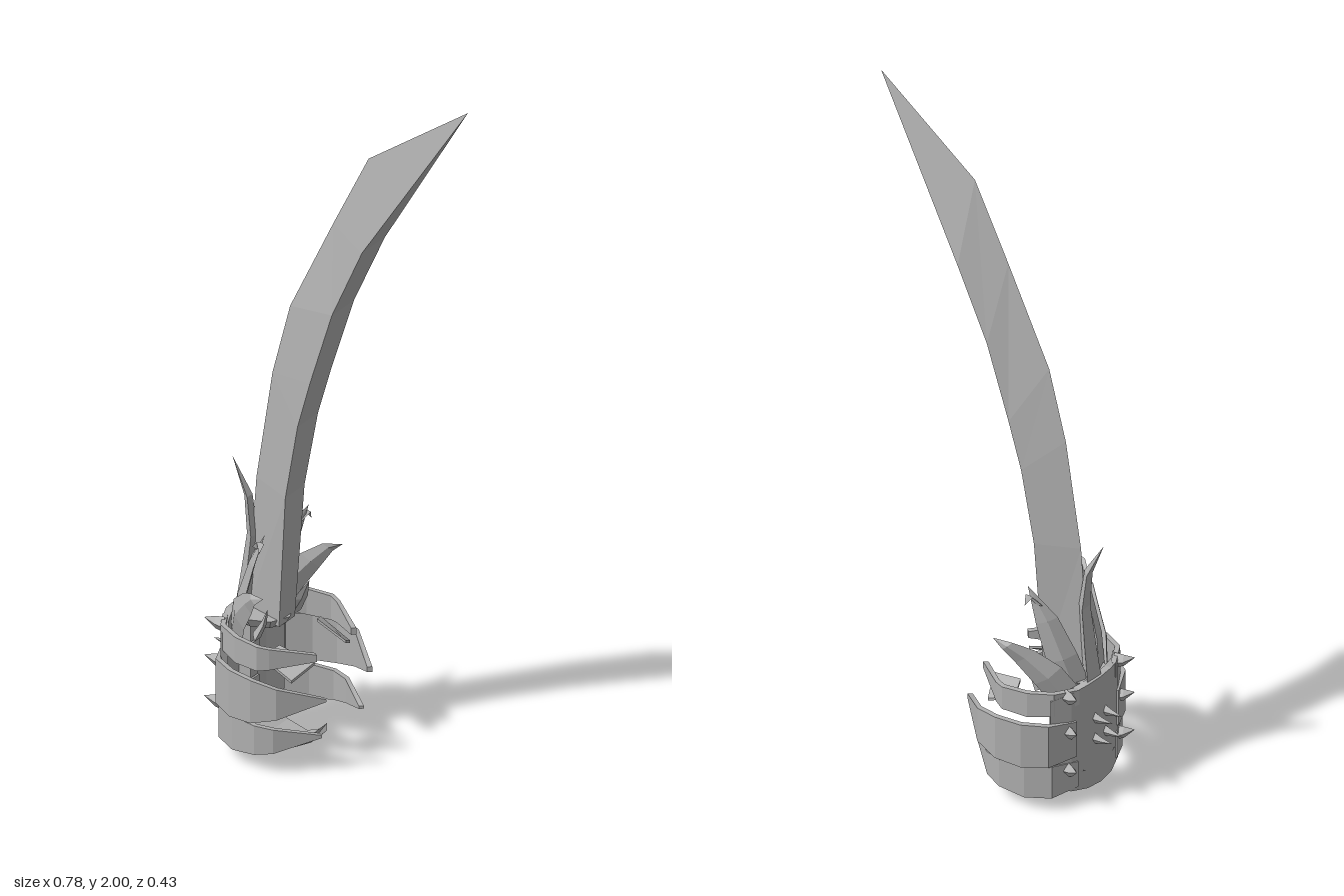
import * as THREE from 'three';

const steel = new THREE.MeshStandardMaterial({ color: 0xb0b0b0, flatShading: true, side: THREE.DoubleSide });
steel.name = 'steel grey';

const V = (x, y, z) => new THREE.Vector3(x, y, z);

// Skin a list of equally sized rings and close both ends
function loft(name, rings) {
  const n = rings[0].length, tris = [];
  for (let i = 0; i < rings.length - 1; i++) {
    for (let j = 0; j < n; j++) {
      const k = (j + 1) % n, a = rings[i], b = rings[i + 1];
      tris.push(a[j], a[k], b[k], a[j], b[k], b[j]);
    }
  }
  const first = rings[0], last = rings[rings.length - 1];
  for (let j = 1; j < n - 1; j++) {
    tris.push(first[0], first[j + 1], first[j], last[0], last[j], last[j + 1]);
  }
  const geo = new THREE.BufferGeometry().setFromPoints(tris);
  geo.computeVertexNormals();
  const mesh = new THREE.Mesh(geo, steel);
  mesh.name = name;
  return mesh;
}

// Pointed leaf: diamond sections along a path, wide along `side`
function spike(name, path, widths, side, thick = 0.3) {
  const s = side.clone().normalize();
  return loft(name, path.map((p, i) => {
    const t = path[Math.min(i + 1, path.length - 1)].clone().sub(path[Math.max(i - 1, 0)]);
    const across = new THREE.Vector3().crossVectors(s, t).normalize().multiplyScalar(widths[i] * thick);
    const w = s.clone().multiplyScalar(widths[i]);
    return [p.clone().add(w), p.clone().add(across), p.clone().sub(w), p.clone().sub(across)];
  }));
}

// Curved band in plan, each station [x, z, bottom, top]
function band(name, stations, m = 1, thick = 0.014) {
  return loft(name, stations.map(([x, z, lo, hi]) => {
    const inward = V(-0.13 - x, 0, -z).normalize().multiplyScalar(thick);
    const ix = x + inward.x, iz = z + inward.z;
    const ring = [V(x, lo, z * m), V(ix, lo, iz * m), V(ix, hi, iz * m), V(x, hi, z * m)];
    return m > 0 ? ring : ring.reverse();
  }));
}

export function createModel() {
  const model = new THREE.Group();
  model.name = 'clawedSabre';

  // Blade: sharp outer edge, broad flat inner face
  const blade = [
    [-0.30, 0.35, -0.175, 0.35, 0.038], [-0.27, 0.75, -0.15, 0.74, 0.046],
    [-0.22, 1.07, -0.11, 0.96, 0.049], [-0.165, 1.28, -0.07, 1.10, 0.051],
    [-0.03, 1.56, 0, 1.32, 0.053], [0.08, 1.78, 0.095, 1.53, 0.055],
    [0.39, 2, 0.39, 2, 0],
  ];
  model.add(loft('blade', blade.map(([bx, by, fx, fy, h]) =>
    [V(bx, by, 0), V(fx, fy, h), V(fx, fy, -h)])));

  // Curved plate over the back of the hand
  model.add(band('backPlate', [
    [-0.285, 0.15, 0.07, 0.35], [-0.315, 0.10, 0.05, 0.36], [-0.332, 0.05, 0.04, 0.37], [-0.335, 0, 0.035, 0.37],
    [-0.332, -0.05, 0.04, 0.37], [-0.315, -0.10, 0.05, 0.36], [-0.285, -0.15, 0.07, 0.35],
  ], 1, 0.02));

  // Ribbed spine inside the grip
  const spine = new THREE.Group();
  spine.name = 'spine';
  for (let i = 0; i < 6; i++) {
    const rib = new THREE.Mesh(new THREE.BoxGeometry(0.035, 0.048, i % 2 ? 0.05 : 0.036), steel);
    rib.name = 'spineSegment';
    rib.position.set(-0.295, 0.08 + i * 0.053, 0);
    spine.add(rib);
  }
  model.add(spine);

  // Collar holding the blade
  const collar = new THREE.Mesh(new THREE.CylinderGeometry(0.085, 0.07, 0.025, 8), steel);
  collar.name = 'collar';
  collar.position.set(-0.25, 0.355, 0);
  collar.scale.z = 0.9;
  model.add(collar);

  // Claw fingers wrapping around each side
  const arc = [[-0.325, 0.09], [-0.29, 0.165], [-0.225, 0.202], [-0.15, 0.214], [-0.08, 0.198], [0.02, 0.11]];
  const claw = (name, m, scale, dx, lows, highs) => model.add(band(name,
    arc.map(([x, z], i) => [x + (i > 3 ? dx : 0), z * scale, lows[i], highs[i]]), m));
  claw('middleClawLeft', 1, 1, 0, [0.16, 0.15, 0.145, 0.15, 0.17, 0.215], [0.27, 0.28, 0.28, 0.275, 0.26, 0.222]);
  claw('middleClawRight', -1, 1, 0, [0.16, 0.15, 0.145, 0.15, 0.165, 0.21], [0.27, 0.28, 0.28, 0.28, 0.27, 0.225]);
  for (const m of [1, -1]) {
    const s = m > 0 ? 'Left' : 'Right';
    claw('upperClaw' + s, m, 0.86, -0.04, [0.32, 0.30, 0.29, 0.29, 0.295, 0.315], [0.365, 0.37, 0.365, 0.36, 0.355, 0.335]);
    claw('lowerClaw' + s, m, 0.92, -0.02, [0.06, 0.045, 0.04, 0.05, 0.06, 0.10], [0.14, 0.145, 0.14, 0.135, 0.13, 0.108]);
  }

  for (const m of [1, -1]) {
    // Small plates hanging inside the upper claws
    model.add(loft('innerPlate', [
      [V(-0.16, 0.31, 0.14 * m), V(-0.14, 0.33, 0.09 * m), V(-0.14, 0.322, 0.09 * m), V(-0.16, 0.302, 0.14 * m)],
      [V(-0.07, 0.265, 0.14 * m), V(-0.04, 0.30, 0.075 * m), V(-0.04, 0.292, 0.075 * m), V(-0.07, 0.257, 0.14 * m)],
    ]));

    // Crown spikes flanking the blade
    model.add(spike('tallCrownSpike', [V(-0.29, 0.34, 0.055 * m), V(-0.265, 0.44, 0.075 * m),
      V(-0.225, 0.55, 0.088 * m), V(-0.175, 0.65, 0.105 * m)], [0.045, 0.042, 0.03, 0], V(0.6, -0.2, 0.8 * m)));
    model.add(spike('wideCrownSpike', [V(-0.28, 0.33, 0.08 * m), V(-0.25, 0.40, 0.115 * m),
      V(-0.20, 0.46, 0.15 * m), V(-0.165, 0.495, 0.18 * m), V(-0.125, 0.51, 0.19 * m)],
    [0.045, 0.045, 0.032, 0.017, 0], V(0.6, -0.6, 0.4 * m)));
    model.add(spike('spikeBarb', [V(-0.205, 0.60, 0.098 * m), V(-0.185, 0.625, 0.112 * m), V(-0.18, 0.60, 0.125 * m)],
      [0.014, 0.012, 0], V(1, 0, 0)));
    model.add(spike('shortCrownSpike', [V(-0.22, 0.33, 0.075 * m), V(-0.19, 0.38, 0.085 * m), V(-0.17, 0.43, 0.10 * m)],
      [0.04, 0.025, 0], V(0.4, 0, 0.9 * m)));

    // Studs on the back plate
    for (const y of [0.12, 0.24, 0.35]) {
      model.add(spike('sideStud', [V(-0.30, y, 0.105 * m), V(-0.325, y + 0.005, 0.112 * m), V(-0.352, y + 0.018, 0.125 * m)],
        [0.024, 0.018, 0], V(0, 1, 0), 0.7));
    }
    for (const y of [0.185, 0.25]) {
      model.add(spike('backStud', [V(-0.325, y, 0.022 * m), V(-0.355, y, 0.022 * m), V(-0.39, y + 0.003, 0.02 * m)],
        [0.02, 0.01, 0], V(0, 1, 0), 0.6));
    }
  }

  // Tall spike rising behind the blade
  model.add(spike('rearSpike', [V(-0.31, 0.34, 0), V(-0.295, 0.46, 0), V(-0.282, 0.58, 0),
    V(-0.295, 0.69, 0), V(-0.345, 0.79, 0)], [0.05, 0.04, 0.03, 0.022, 0], V(0.4, 0.1, 0.9), 0.5));

  // Pommel claw curling under the hand
  model.add(loft('pommelClaw', [
    [-0.33, 0.085, 0.07], [-0.30, 0.04, 0.075], [-0.21, 0.008, 0.06], [-0.14, 0, 0.045], [-0.09, 0.025, 0.03], [-0.05, 0.065, 0],
  ].map(([x, y, w]) => [V(x, y, w * 0.5), V(x, y + 0.022, w), V(x, y + 0.022, -w), V(x, y, -w * 0.5)])));

  return model;
}
